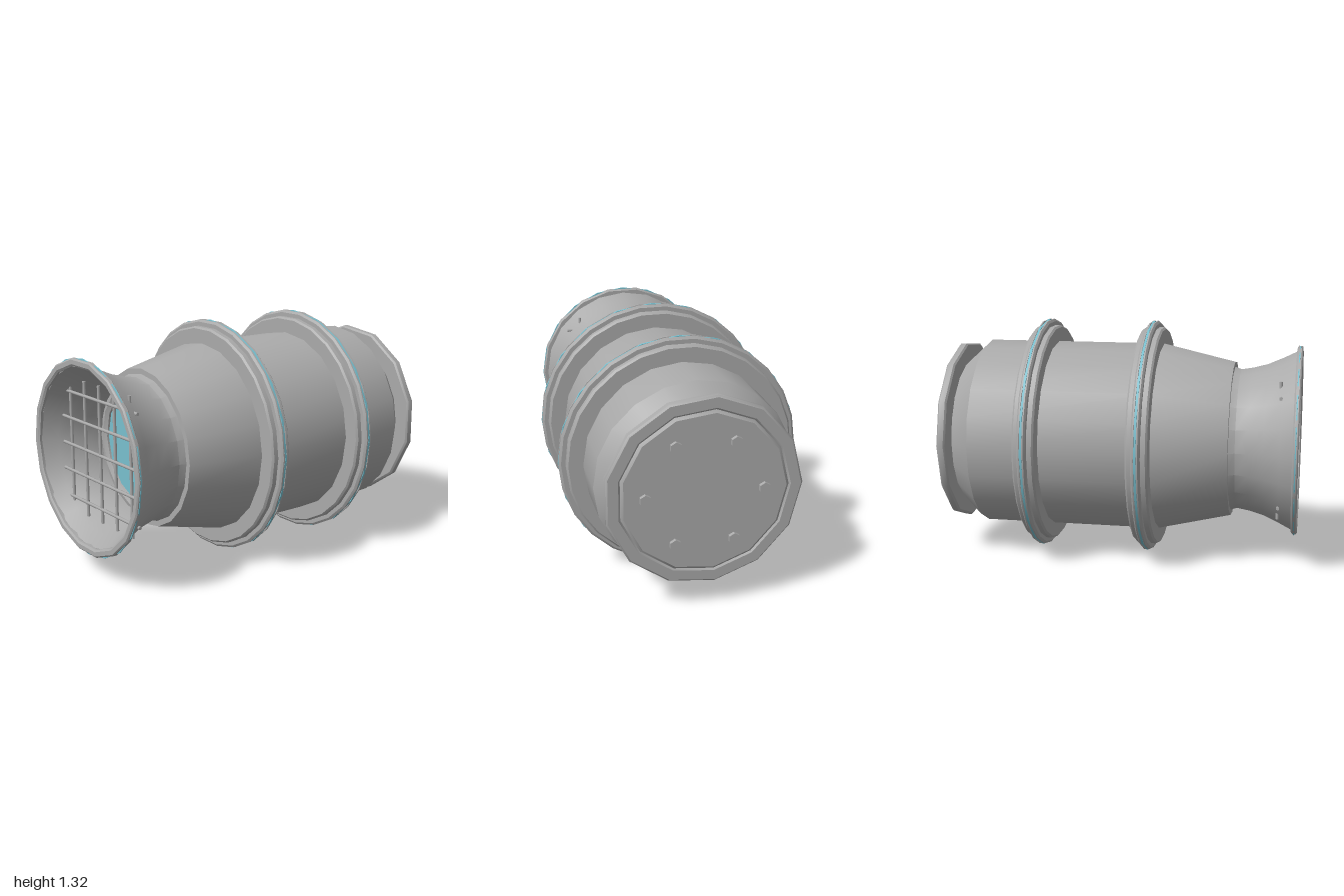
import * as THREE from 'three';
import { toCreasedNormals } from 'three/addons/utils/BufferGeometryUtils.js';

export function createModel() {
  const model = new THREE.Group();
  model.name = 'ventCanister';
  const grey = new THREE.MeshStandardMaterial({ color: 0xaaaaaa });
  grey.name = 'greyMetal';
  const teal = new THREE.MeshStandardMaterial({ color: 0x78bfce });
  teal.name = 'tealGlow';
  const axisY = 0.66;

  function add(name, geometry, material, x = 0, y = 0, z = 0) {
    const mesh = new THREE.Mesh(geometry, material);
    mesh.name = name;
    mesh.position.set(x, axisY + y, z);
    model.add(mesh);
    return mesh;
  }

  // Turned part about the z axis; profile is [radius, z], running back to front on outer walls
  function turned(name, profile, sides, material, z = 0, start = Math.PI / 2, crease = 0.52) {
    const points = profile.map(([r, h]) => new THREE.Vector2(r, h));
    const geometry = new THREE.LatheGeometry(points, sides, start);
    geometry.rotateX(Math.PI / 2);
    return add(name, toCreasedNormals(geometry, crease), material, 0, 0, z);
  }

  // Main shell with tapered shoulders
  turned('body', [
    [0, -0.92], [0.42, -0.92], [0.535, -0.795], [0.535, 0.215], [0.44, 0.625], [0.385, 0.625],
  ], 20, grey);

  // Flanges, each with a grooved bead holding a coloured seal
  for (const z of [0.16, -0.455]) {
    turned('flange', [
      [0.52, -0.06], [0.615, -0.06], [0.625, -0.05], [0.625, 0.05], [0.615, 0.06], [0.52, 0.06],
    ], 26, grey, z);
    turned('flangeBead', [
      [0.61, -0.024], [0.648, -0.024], [0.66, -0.015], [0.66, -0.007], [0.645, -0.005],
      [0.645, 0.005], [0.66, 0.007], [0.66, 0.015], [0.648, 0.024], [0.61, 0.024],
    ], 26, grey, z);
    turned('seal', [[0.64, -0.007], [0.661, -0.006], [0.661, 0.006], [0.64, 0.007]], 20, teal, z);
  }

  // Flared horn: outer wall, then inner wall back to the throat
  turned('horn', [
    [0.415, 0.61], [0.398, 0.66], [0.41, 0.73], [0.432, 0.81], [0.472, 0.9], [0.512, 0.98],
    [0.492, 0.98], [0.445, 0.9], [0.405, 0.81], [0.383, 0.73], [0.37, 0.66], [0.37, 0.62],
  ], 20, grey);
  turned('hornLip', [
    [0.5, 0.968], [0.527, 0.968], [0.535, 0.975], [0.535, 0.993], [0.527, 1.0],
    [0.503, 1.0], [0.492, 0.992], [0.492, 0.968],
  ], 18, grey);
  turned('lipSeal', [[0.525, 0.98], [0.536, 0.981], [0.536, 0.987], [0.525, 0.988]], 20, teal);

  // Throat ring and glowing disc
  turned('throatRing', [[0.38, 0.662], [0.35, 0.668], [0.325, 0.655], [0.318, 0.63]], 14, grey);
  turned('throatDisc', [[0.335, 0.645], [0, 0.645]], 14, teal);

  // Crossed grille bars whose outer tips pass through the horn wall
  for (const offset of [-0.3, -0.15, 0, 0.15, 0.3]) {
    add('grilleUpright', new THREE.CylinderGeometry(0.009, 0.009, 0.76, 8), grey, offset, 0, 0.893);
    const bar = add('grilleCrossbar', new THREE.CylinderGeometry(0.009, 0.009, 0.76, 8), grey, 0, offset, 0.897);
    bar.rotation.z = Math.PI / 2;
  }

  // Back plate with a slightly raised centre
  turned('backPlate', [
    [0, -0.98], [0.43, -0.98], [0.445, -0.968], [0.455, -0.976], [0.51, -0.976],
    [0.52, -0.967], [0.52, -0.936], [0.51, -0.927], [0, -0.927],
  ], 13, grey, 0, -Math.PI / 2);

  // Ring of hex bolts
  for (let i = 0; i < 6; i++) {
    const a = i * Math.PI / 3;
    const geometry = toCreasedNormals(new THREE.CylinderGeometry(0.031, 0.031, 0.03, 6), 0.5);
    geometry.rotateX(Math.PI / 2);
    add('bolt', geometry, grey, 0.31 * Math.cos(a), 0.31 * Math.sin(a), -0.985);
  }
  return model;
}
